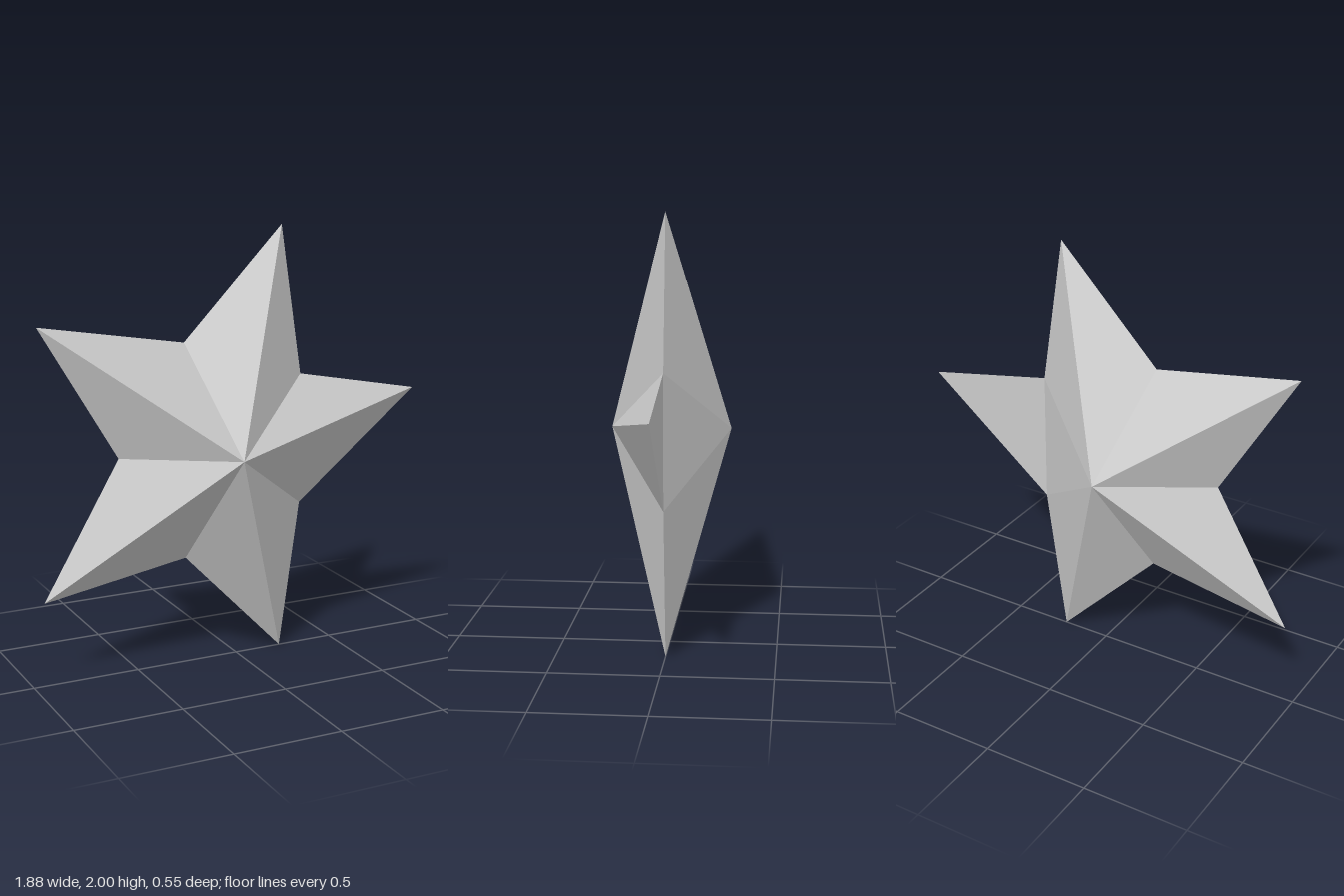
import * as THREE from 'three';

export function createModel() {
  const group = new THREE.Group();
  group.name = 'star';
  const material = new THREE.MeshStandardMaterial({ color: 0xcccccc, flatShading: true });

  // Outline, counter-clockwise from the front: tips alternate with notches
  const cx = -0.095, cy = 1, depth = 0.277;
  const outline = [
    [0.94, 1.19], [0.33, 1.31], [0.228, 2], [-0.257, 1.5], [-0.94, 1.617],
    [-0.577, 1.005], [-0.94, 0.387], [-0.257, 0.503], [0.228, 0], [0.33, 0.695],
  ].map(([x, y]) => new THREE.Vector3(x, y, 0));

  const addFaces = (name, triangles) => {
    const geometry = new THREE.BufferGeometry().setFromPoints(triangles.flat());
    geometry.computeVertexNormals();
    const mesh = new THREE.Mesh(geometry, material);
    mesh.name = name;
    group.add(mesh);
  };

  // Fan of triangles from a raised centre to every edge of a closed loop
  const fan = (loop, z) => {
    const apex = new THREE.Vector3(cx, cy, z);
    return loop.map((p, i) => {
      const q = loop[(i + 1) % loop.length];
      return z > 0 ? [apex, p, q] : [apex, q, p];
    });
  };

  // Faceted front with all five arms ridged
  addFaces('frontFacets', fan(outline, depth));

  // Back has four ridged arms; the side arm is flat behind
  addFaces('backFacets', fan(outline.slice(1), -depth));
  addFaces('flatArmBack', [[outline[0], outline[9], outline[1]]]);

  return group;
}
